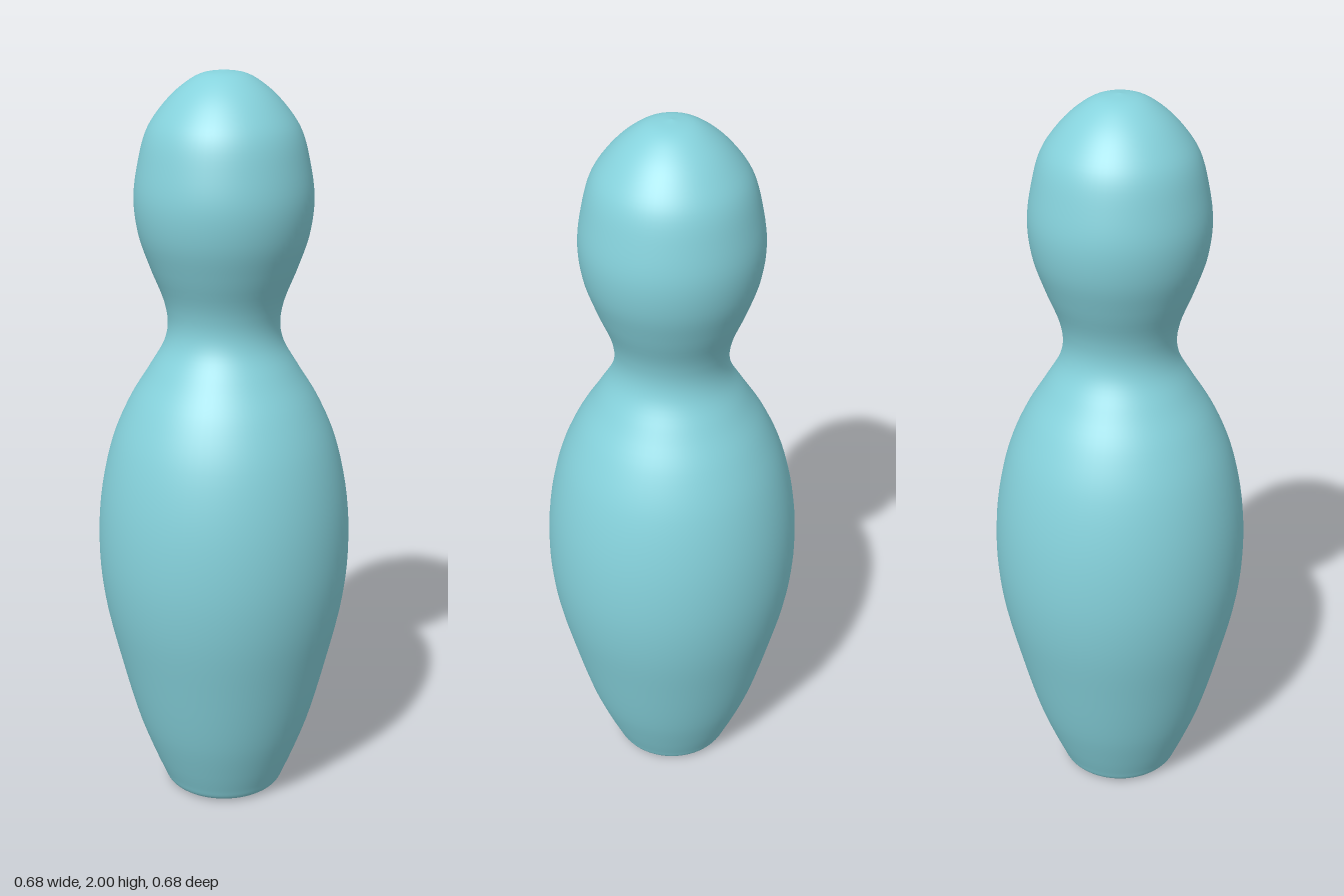
import * as THREE from 'three';

export function createModel() {
  const group = new THREE.Group();
  group.name = 'bowlingPin';
  const material = new THREE.MeshStandardMaterial({ color: 0x86d2dc });

  // Silhouette from the base edge up to the crown: [radius, height]
  const silhouette = [
    [0.145, 0], [0.162, 0.012], [0.175, 0.04], [0.2, 0.1], [0.24, 0.21], [0.288, 0.39],
    [0.328, 0.57], [0.342, 0.72], [0.333, 0.88], [0.3, 1.03], [0.253, 1.14],
    [0.198, 1.23], [0.158, 1.3], [0.148, 1.35], [0.157, 1.41], [0.192, 1.5],
    [0.222, 1.59], [0.232, 1.68], [0.22, 1.77], [0.198, 1.85], [0.163, 1.905],
    [0.115, 1.955], [0.06, 1.99], [0, 2],
  ].map(([r, y]) => new THREE.Vector3(r, y, 0));
  const profile = new THREE.CatmullRomCurve3(silhouette, false, 'centripetal')
    .getPoints(110)
    .map((p) => new THREE.Vector2(Math.max(p.x, 0), Math.min(Math.max(p.y, 0), 2)));

  // Turned body, neck and head
  const body = new THREE.Mesh(new THREE.LatheGeometry(profile, 72), material);
  body.name = 'body';
  group.add(body);

  // Flat underside
  const base = new THREE.Mesh(new THREE.CircleGeometry(0.145, 72), material);
  base.name = 'base';
  base.rotation.x = Math.PI / 2;
  group.add(base);

  return group;
}
